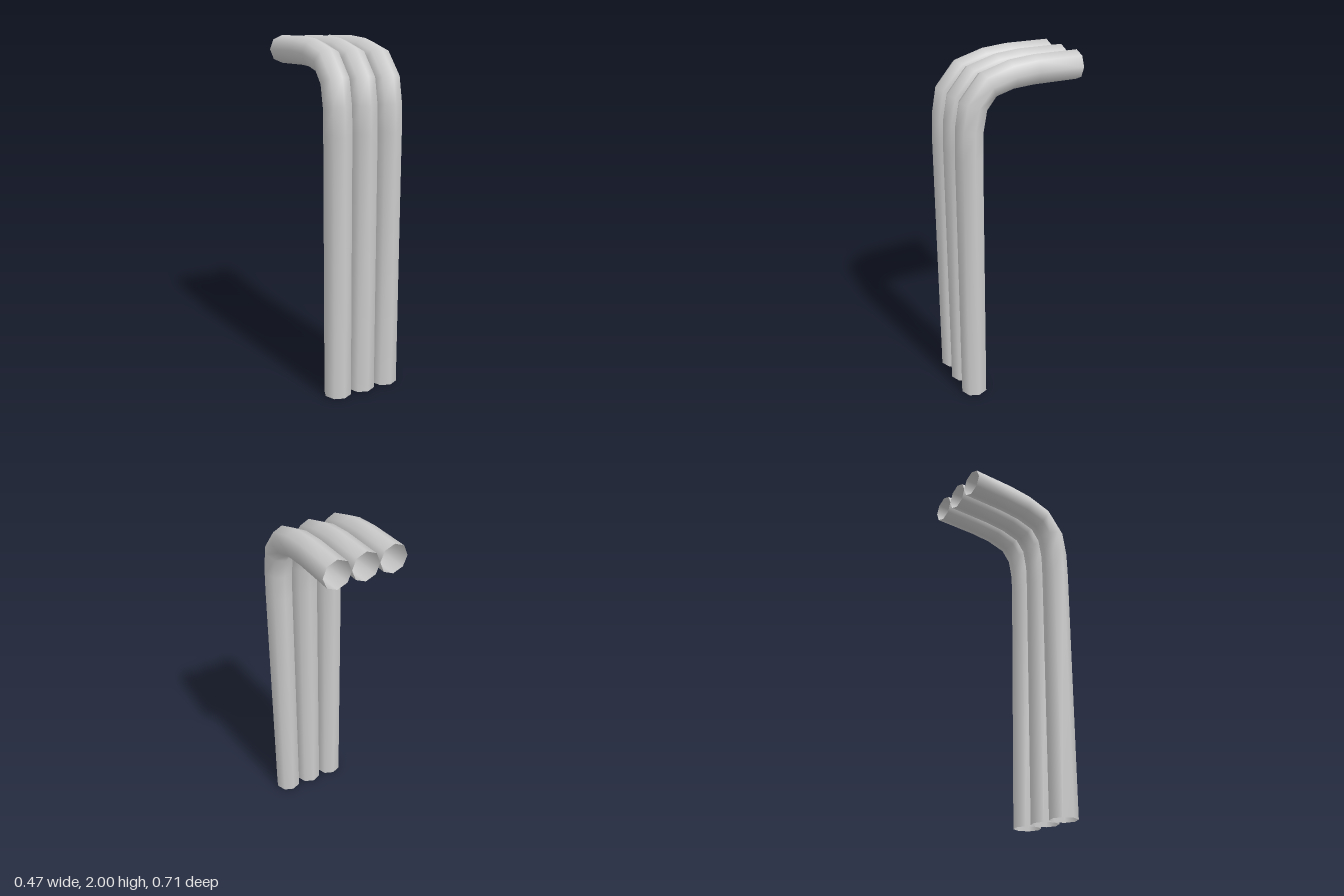
import * as THREE from 'three';
import { mergeVertices } from 'three/addons/utils/BufferGeometryUtils.js';

const RADIUS = 0.079;
const SIDES = 8;

// Rings from the floor to the open rear end: [outer z, outer y, inner z, inner y]
const RINGS = [
  [0.357, 0, 0.199, 0],
  [0.357, 1.5, 0.199, 1.5],
  [0.352, 1.65, 0.196, 1.64],
  [0.324, 1.8, 0.175, 1.75],
  [0.203, 1.941, 0.134, 1.803],
  [0.045, 1.987, 0.026, 1.833],
  [-0.1, 2, -0.1, 1.842],
  [-0.357, 2, -0.357, 1.842],
];

// Open cylinder whose rows are moved onto the rings of the bent path
function bentPipeGeometry() {
  const rows = RINGS.length - 1;
  let geometry = new THREE.CylinderGeometry(RADIUS, RADIUS, 1, SIDES, rows, true);
  const p = geometry.attributes.position;
  for (let i = 0; i < p.count; i++) {
    const [oz, oy, iz, iy] = RINGS[Math.round((p.getY(i) + 0.5) * rows)];
    const t = (p.getZ(i) / RADIUS + 1) / 2; // 0 inside the bend, 1 outside
    p.setXYZ(i, p.getX(i), iy + (oy - iy) * t, iz + (oz - iz) * t);
  }
  // Weld the seam so the shading is smooth all round
  geometry.deleteAttribute('uv');
  geometry.deleteAttribute('normal');
  geometry = mergeVertices(geometry);
  geometry.computeVertexNormals();
  return geometry;
}

export function createModel() {
  const group = new THREE.Group();
  group.name = 'bentPipes';
  const material = new THREE.MeshStandardMaterial({ color: 0xcccccc, side: THREE.DoubleSide });
  const geometry = bentPipeGeometry();

  // Three identical pipes side by side
  ['rightPipe', 'middlePipe', 'leftPipe'].forEach((name, i) => {
    const pipe = new THREE.Mesh(geometry, material);
    pipe.name = name;
    pipe.position.x = (i - 1) * 2 * RADIUS;
    group.add(pipe);
  });
  return group;
}
